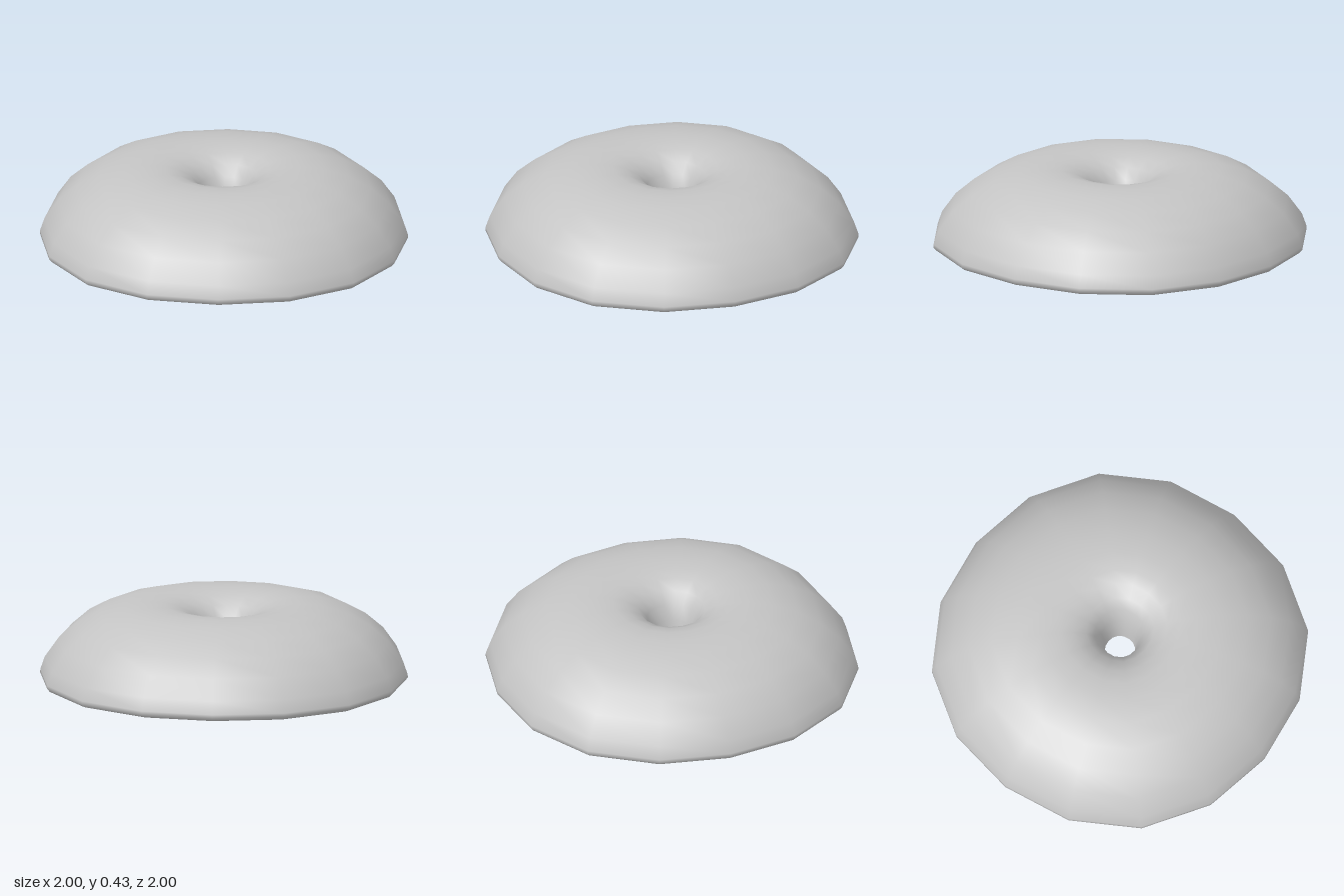
import * as THREE from 'three';
import { mergeVertices } from 'three/addons/utils/BufferGeometryUtils.js';

// Half profile (radius, height): rolled rim, domed shell, crown, funnel throat, open tube
const PROFILE = [
  [0.905, 0.0], [0.96, 0.002], [0.985, 0.01], [1.0, 0.027], [0.999, 0.045],
  [0.975, 0.115], [0.9, 0.222], [0.8, 0.31], [0.68, 0.378], [0.545, 0.419],
  [0.42, 0.431], [0.32, 0.426], [0.25, 0.409], [0.18, 0.372], [0.135, 0.315],
  [0.105, 0.23], [0.088, 0.14], [0.081, 0.05],
];

export function createModel() {
  const grey = new THREE.MeshStandardMaterial({ color: 0xc4c4c4, side: THREE.DoubleSide });
  grey.name = 'light grey';

  let geometry = new THREE.LatheGeometry(PROFILE.map(([r, y]) => new THREE.Vector2(r, y)), 16);

  // The rings bulge slightly on the diagonals
  const pos = geometry.attributes.position;
  for (let i = 0; i < pos.count; i++) {
    const x = pos.getX(i), z = pos.getZ(i);
    const bulge = 1 + 0.028 * Math.sin(2 * Math.atan2(z, x)) ** 2;
    pos.setX(i, x * bulge);
    pos.setZ(i, z * bulge);
  }

  // Weld the seam so the shading is smooth all round
  geometry.deleteAttribute('uv');
  geometry.deleteAttribute('normal');
  geometry = mergeVertices(geometry, 1e-4);
  geometry.computeVertexNormals();

  const shell = new THREE.Mesh(geometry, grey);
  shell.name = 'domedShellWithFunnel';

  const model = new THREE.Group();
  model.name = 'dome';
  model.add(shell);
  return model;
}
